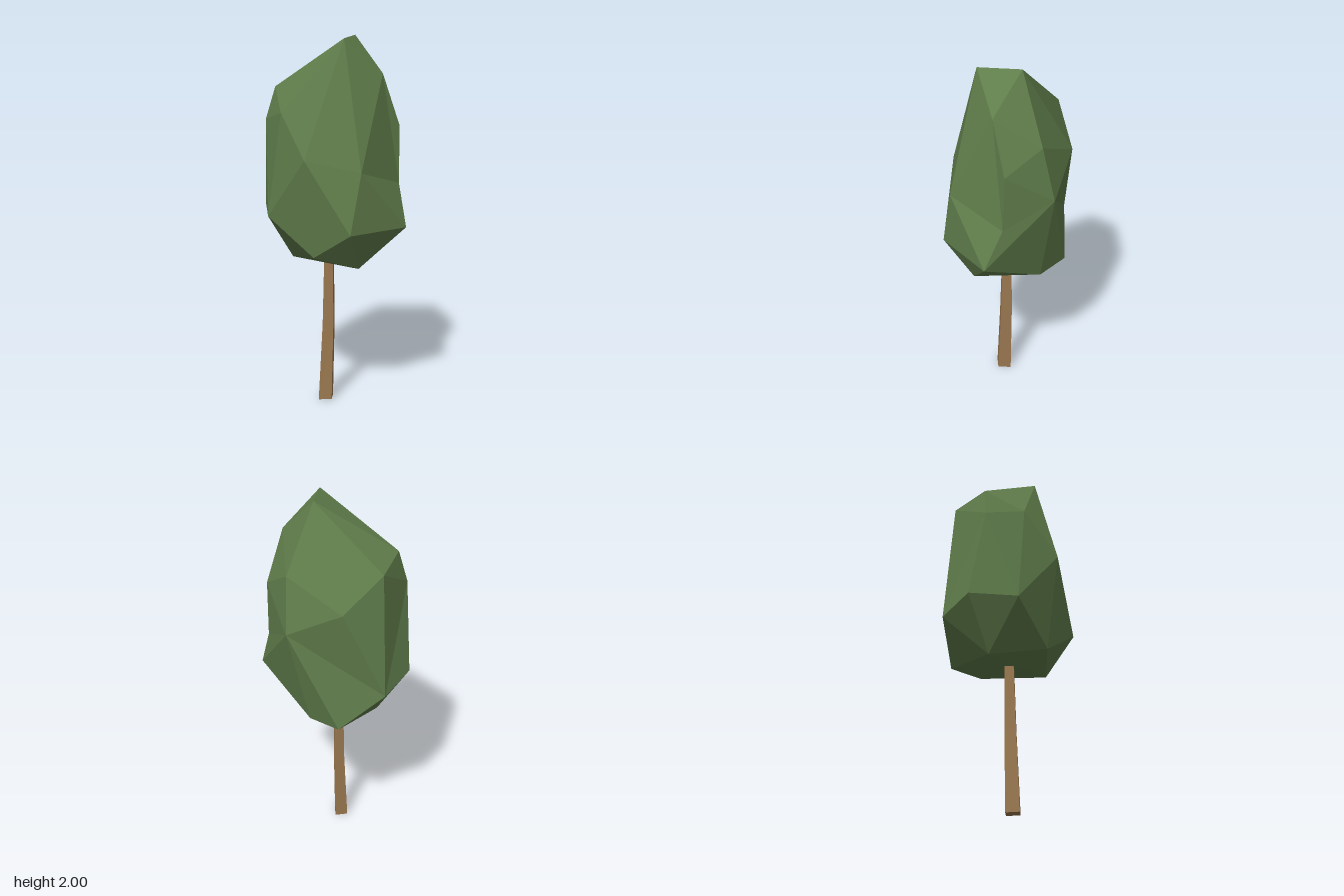
import * as THREE from 'three';
import { ConvexGeometry } from 'three/addons/geometries/ConvexGeometry.js';

// Faceted crown: corner points by height; an optional second point is used only
// while wrapping the skin, so that the corner ends up in a shallow dent.
const corners = [
  // top ridge
  [[0.145, 1.99, 0.10]], [[0.05, 2.0, -0.105]],
  // shoulders
  [[0.255, 1.81, -0.08]], [[-0.297, 1.728, 0.145]], [[-0.33, 1.68, -0.06]],
  [[0.105, 1.65, -0.272]], [[-0.13, 1.61, 0.28]], [[-0.33, 1.555, 0.187]],
  // belly
  [[0.293, 1.535, -0.18]], [[-0.205, 1.5, -0.24]], [[0.075, 1.385, 0.33]],
  [[0.075, 1.355, -0.33], [0.075, 1.355, -0.38]], [[0.31, 1.325, 0.16]],
  [[0.30, 1.23, -0.172], [0.38, 1.23, -0.18]],
  // lower rim
  [[-0.395, 1.07, 0.13]], [[-0.207, 1.055, 0.307]], [[0.297, 1.01, 0.23]],
  [[0.39, 1.01, -0.12]], [[-0.375, 1.015, -0.09], [-0.435, 1.01, -0.15]],
  // underside
  [[0.065, 0.86, 0.25]], [[0.23, 0.795, 0.08]], [[-0.22, 0.79, 0.1]],
  [[-0.18, 0.82, -0.235]], [[0.016, 0.81, -0.21]],
];

function crownGeometry() {
  const final = corners.map(([p]) => new THREE.Vector3(...p));
  const wrap = corners.map(([p, q]) => new THREE.Vector3(...(q || p)));
  const geo = new ConvexGeometry(wrap);
  const pos = geo.attributes.position;
  const v = new THREE.Vector3();
  for (let i = 0; i < pos.count; i++) {
    v.fromBufferAttribute(pos, i);
    const k = wrap.findIndex((w) => w.distanceTo(v) < 1e-4);
    if (k >= 0) pos.setXYZ(i, final[k].x, final[k].y, final[k].z);
  }
  geo.computeVertexNormals();
  return geo;
}

// Four-sided trunk, bent and tapered: [height, centre x, centre z, half x, half z]
const rings = [
  [0, -0.012, 0.065, 0.048, 0.055],
  [0.44, -0.008, 0.045, 0.039, 0.046],
  [0.87, -0.01, 0.038, 0.031, 0.035],
];

function trunkGeometry() {
  const geo = new THREE.CylinderGeometry(1, 1, 2, 4, 2, false, -0.12);
  const pos = geo.attributes.position;
  for (let i = 0; i < pos.count; i++) {
    const [y, cx, cz, rx, rz] = rings[Math.round(pos.getY(i)) + 1];
    pos.setXYZ(i, cx + pos.getX(i) * rx, y, cz + pos.getZ(i) * rz);
  }
  geo.computeVertexNormals();
  return geo;
}

export function createModel() {
  const tree = new THREE.Group();
  tree.name = 'tree';
  const addPart = (name, geometry, color) => {
    const material = new THREE.MeshStandardMaterial({ color, flatShading: true });
    const mesh = new THREE.Mesh(geometry, material);
    mesh.name = name;
    tree.add(mesh);
  };
  addPart('crown', crownGeometry(), 0x607d4b);
  addPart('trunk', trunkGeometry(), 0x9a7850);
  return tree;
}
